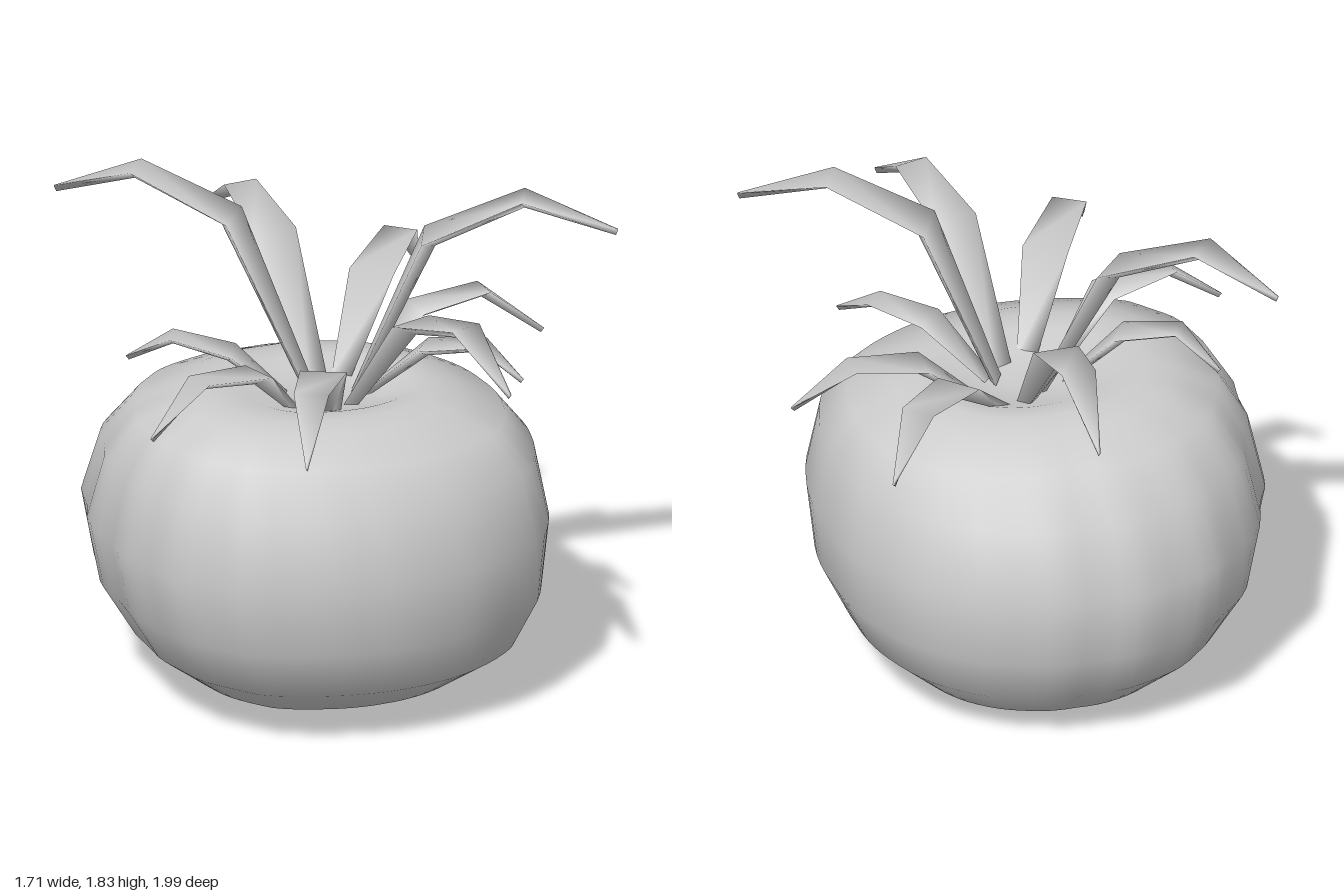
import * as THREE from 'three';
import { mergeVertices } from 'three/addons/utils/BufferGeometryUtils.js';

const material = new THREE.MeshStandardMaterial({ color: 0xcccccc });

// Plan radius every 22.5 degrees, from +x towards +z
const PLAN = [0.77, 0.80, 0.845, 0.81, 0.78, 0.775, 0.81, 0.80, 0.775, 0.785, 0.82, 0.815, 0.785, 0.785, 0.79, 0.775];

// Plump fruit: a lathe whose rings are squared off, rippled and leaned
function createBody() {
  const profile = [
    [0, 0], [0.36, 0.01], [0.62, 0.08], [0.82, 0.21], [0.95, 0.4], [1, 0.65],
    [0.94, 0.89], [0.82, 1.03], [0.62, 1.1], [0.5, 1.12], [0.38, 1.115], [0.25, 1.08], [0, 1.06],
  ].map(([r, y]) => new THREE.Vector2(r, y));
  let geo = new THREE.LatheGeometry(profile, 80);
  geo.deleteAttribute('normal');
  geo.deleteAttribute('uv');
  geo = mergeVertices(geo, 1e-4);

  const p = geo.attributes.position;
  for (let i = 0; i < p.count; i++) {
    const x = p.getX(i), y = p.getY(i), z = p.getZ(i);
    const angle = (Math.atan2(z, x) + Math.PI * 2) % (Math.PI * 2);
    const r = Math.hypot(x, z);
    const t = angle / (Math.PI / 8), k = Math.floor(t);
    let plan = THREE.MathUtils.lerp(PLAN[k % 16], PLAN[(k + 1) % 16], t - k);
    // Shallow vertical ribs, stronger on the left-back side and at mid height
    const side = 0.5 - 0.5 * Math.cos(angle - 0.4);
    plan += 0.009 * side * Math.sin(17 * angle) * r ** 3;
    // Shoulders are narrower from front to back than from side to side
    const depth = 1 - 0.12 * (y - 0.62) - 0.4 * Math.max(0, y - 0.85);
    const px = Math.cos(angle) * r * plan;
    const pz = Math.sin(angle) * r * plan * depth;
    // The hollow under the leaves sits off the fruit's axis
    const hollow = y > 1 ? Math.max(0, 1 - r / 0.5) : 0;
    p.setXYZ(i,
      px - 0.07 + 0.035 * Math.max(0, 1 - y / 0.6) + 0.09 * hollow,
      y - (y > 0.9 ? 0.033 * px : 0),
      pz - 0.01 + 0.08 * Math.max(0, y - 0.6) - 0.06 * Math.max(0, 1 - y / 0.15));
  }
  geo.computeVertexNormals();
  const body = new THREE.Mesh(geo, material);
  body.name = 'fruitBody';
  return body;
}

// Bent leaf: flat top and a keel beneath, lofted through four stations
function createLeaf(points, size) {
  const path = points.map((a) => new THREE.Vector3(...a));
  const half = [0.035, 0.08, 0.06, 0.004];
  const keel = [0.025, 0.05, 0.04, 0.02];
  const across = path[3].clone().sub(path[0]).setY(0).normalize();
  across.set(across.z, 0, -across.x);

  const positions = [];
  path.forEach((c, i) => {
    const tangent = path[Math.min(i + 1, 3)].clone().sub(path[Math.max(i - 1, 0)]).normalize();
    const up = tangent.cross(across).normalize();
    for (const [s, drop] of [[-1, 0], [1, 0], [0, 1]]) {
      const v = c.clone().addScaledVector(across, s * half[i] * size).addScaledVector(up, -drop * keel[i] * size);
      positions.push(v.x, v.y, v.z);
    }
  });
  const index = [0, 1, 2, 9, 11, 10];
  for (let i = 0; i < 3; i++) {
    for (let j = 0; j < 3; j++) {
      const a = i * 3 + j, b = i * 3 + (j + 1) % 3;
      index.push(a, a + 3, b, b, a + 3, b + 3);
    }
  }
  const geo = new THREE.BufferGeometry();
  geo.setAttribute('position', new THREE.Float32BufferAttribute(positions, 3));
  geo.setIndex(index);
  geo.computeVertexNormals();
  return new THREE.Mesh(geo, material);
}

// Base, widest point, bend and tip of each leaf
const LEAVES = [
  // tall pair
  [[0.05, 1.07, 0.05], [0.26, 1.67, 0.18], [0.57, 1.825, 0.34], [0.85, 1.71, 0.51]],
  [[-0.06, 1.07, -0.05], [-0.25, 1.67, -0.26], [-0.52, 1.825, -0.48], [-0.73, 1.71, -0.69]],
  // middle pair
  [[-0.005, 1.07, -0.1], [0, 1.49, -0.45], [0.005, 1.565, -0.73], [0.015, 1.4, -1]],
  [[0.01, 1.07, 0.13], [0.08, 1.49, 0.45], [0.15, 1.565, 0.74], [0.2, 1.4, 0.99]],
  // low ring
  [[0.08, 1.07, -0.09], [0.31, 1.33, -0.32], [0.52, 1.375, -0.52], [0.65, 1.18, -0.65]],
  [[-0.09, 1.07, 0.17], [-0.23, 1.34, 0.4], [-0.39, 1.375, 0.63], [-0.5, 1.19, 0.82]],
  [[0.15, 1.07, -0.02], [0.36, 1.28, -0.08], [0.62, 1.31, -0.07], [0.82, 1.14, -0.01]],
  [[-0.18, 1.07, 0.09], [-0.37, 1.28, 0.18], [-0.62, 1.31, 0.22], [-0.82, 1.14, 0.25]],
  [[-0.16, 1.07, -0.01], [-0.35, 1.26, -0.06], [-0.53, 1.31, -0.18], [-0.64, 1.2, -0.31]],
  [[0.08, 1.07, 0.07], [0.25, 1.27, 0.2], [0.41, 1.3, 0.34], [0.5, 1.2, 0.48]],
];

export function createModel() {
  const model = new THREE.Group();
  model.name = 'tomato';
  model.add(createBody());

  const crown = new THREE.Group();
  crown.name = 'leafCrown';
  LEAVES.forEach((points, i) => {
    const leaf = createLeaf(points, i < 2 ? 1.12 : i < 6 ? 1.02 : i < 8 ? 0.92 : 0.85);
    leaf.name = `leaf${i + 1}`;
    crown.add(leaf);
  });
  model.add(crown);
  return model;
}
